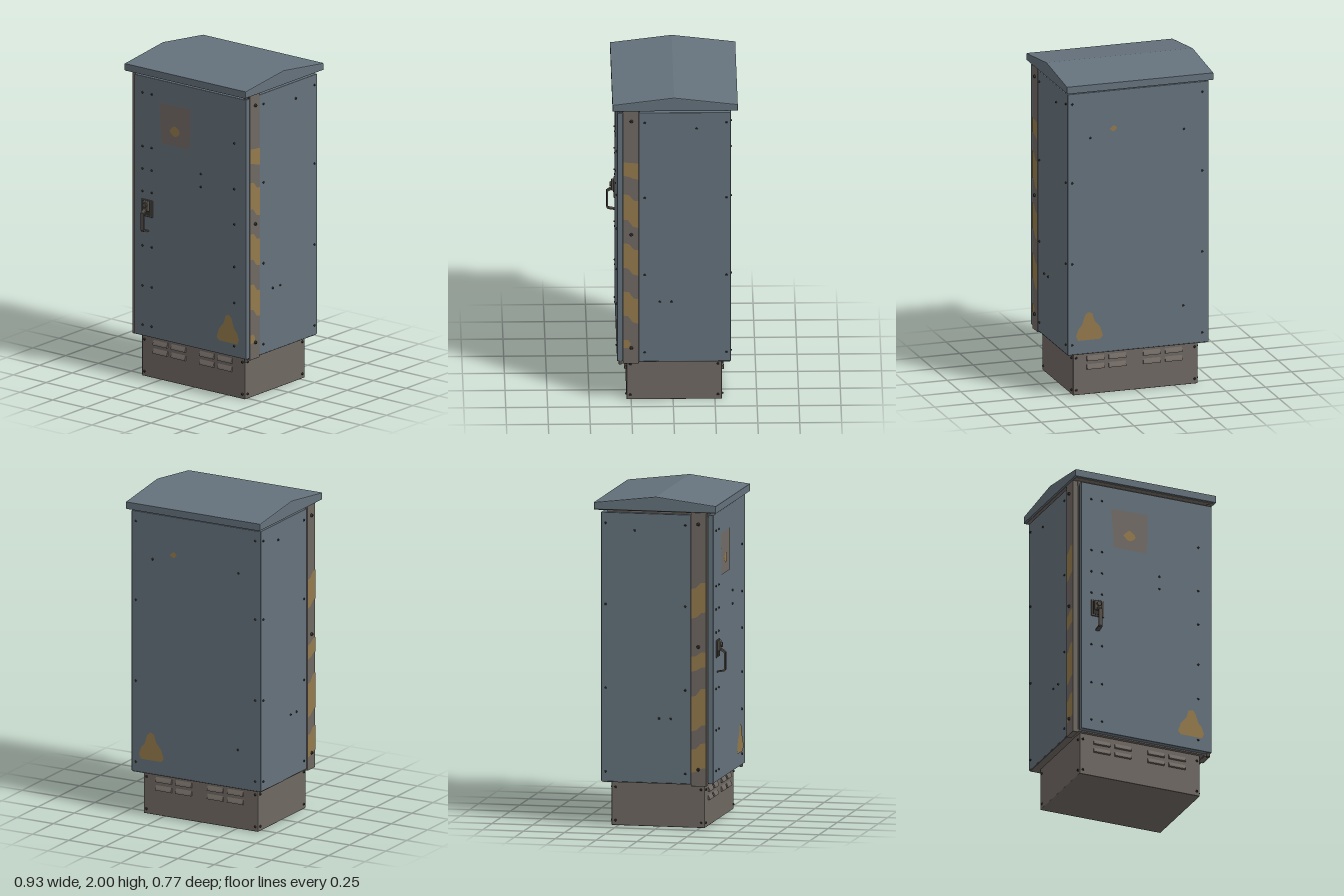
import * as THREE from 'three';
import { mergeGeometries } from 'three/addons/utils/BufferGeometryUtils.js';
import { RoundedBoxGeometry } from 'three/addons/geometries/RoundedBoxGeometry.js';

const paint = (name, color) => {
  const m = new THREE.MeshStandardMaterial({ color });
  m.name = name;
  return m;
};

export function createModel() {
  const blue = paint('blue grey paint', 0x65727c);
  const grey = paint('bare grey metal', 0x706963);
  const label = paint('faded label', 0x736c68);
  const orange = paint('faded orange', 0x947a4c);
  const dark = paint('dark seal', 0x34332f);
  const steel = paint('dark steel', 0x55504a);

  const model = new THREE.Group();
  model.name = 'streetCabinet';

  const add = (name, geometry, material, parent = model) => {
    const mesh = new THREE.Mesh(geometry, material);
    mesh.name = name;
    parent.add(mesh);
    return mesh;
  };
  // Box given by its limits on each axis
  const box = (name, [x0, x1], [y0, y1], [z0, z1], material, radius = 0, parent = model) => {
    const size = [x1 - x0, y1 - y0, z1 - z0];
    const g = radius ? new RoundedBoxGeometry(...size, 2, radius) : new THREE.BoxGeometry(...size);
    g.translate((x0 + x1) / 2, (y0 + y1) / 2, (z0 + z1) / 2);
    return add(name, g, material, parent);
  };

  // Each wall of the cabinet: turn about y and distance from the axis
  const walls = {
    front: [0, 0.335], back: [Math.PI, 0.345],
    left: [Math.PI / 2, 0.445], right: [-Math.PI / 2, 0.445],
  };
  // Horizontal position along a wall (world x or z) to the wall's own axis
  const along = { front: 1, back: -1, left: -1, right: 1 };

  // Domed fasteners at [position, height] on a wall, merged into one mesh
  const bolts = (name, wall, spots, radius = 0.008, distance = walls[wall][1], material = dark) => {
    const parts = spots.map(([u, y]) => new THREE.CylinderGeometry(radius * 0.6, radius, radius, 8)
      .rotateX(Math.PI / 2).translate(u * along[wall], y, distance + radius / 2));
    add(name, mergeGeometries(parts), material).rotation.y = walls[wall][0];
  };
  // Flat painted patch on a wall
  const patch = (name, wall, points, material, distance = walls[wall][1], smooth = false) => {
    const v = points.map(([u, y]) => new THREE.Vector2(u * along[wall], y));
    const shape = new THREE.Shape();
    if (smooth) {
      shape.moveTo(v[0].x, v[0].y);
      shape.splineThru([...v.slice(1), v[0]]);
    } else shape.setFromPoints(v);
    const g = new THREE.ShapeGeometry(shape, 6).translate(0, 0, distance + 0.002);
    add(name, g, material).rotation.y = walls[wall][0];
  };

  // Plinth
  box('plinth', [-0.395, 0.392], [0, 0.28], [-0.292, 0.278], grey, 0.004);

  // Plinth louvres, front and back
  const fin = new THREE.Shape([[0, 0], [0.014, 0.002], [0.011, 0.012], [0, 0.034]]
    .map(p => new THREE.Vector2(...p)));
  const fins = [];
  for (const x of [-0.252, -0.114, 0.103, 0.241]) for (const y of [0.155, 0.207]) {
    fins.push(new THREE.ExtrudeGeometry(fin, { depth: 0.108, bevelEnabled: false })
      .rotateY(-Math.PI / 2).translate(x + 0.054, y, 0));
  }
  const louvres = mergeGeometries(fins);
  add('frontLouvres', louvres, grey).position.z = 0.277;
  const backLouvres = add('backLouvres', louvres, grey);
  backLouvres.rotation.y = Math.PI;
  backLouvres.position.z = -0.291;

  // Plinth corner screws
  for (const [wall, d, us] of [['front', 0.278, [-0.375, 0.372]], ['back', 0.292, [-0.375, 0.372]],
    ['left', 0.392, [-0.268, 0.255]], ['right', 0.395, [-0.268, 0.255]]]) {
    bolts('plinthScrews', wall, us.flatMap(u => [[u, 0.03], [u, 0.23]]), 0.008, d);
  }

  // Cabinet shell, floor, inner frame and collar below the roof
  box('shell', [-0.445, 0.445], [0.27, 1.895], [-0.345, 0.205], blue, 0.004);
  box('floor', [-0.44, 0.44], [0.266, 0.276], [-0.34, 0.3], grey);
  box('doorFrame', [-0.42, 0.438], [0.275, 1.9], [0.2, 0.302], dark);
  box('collar', [-0.42, 0.42], [1.88, 1.915], [-0.31, 0.305], grey);

  // Front corner posts
  box('rightPost', [-0.45, -0.416], [0.258, 1.912], [0.205, 0.3], grey, 0.003);
  box('leftPost', [0.41, 0.447], [0.258, 1.912], [0.205, 0.3], grey, 0.003);

  // Door with hinge pins
  box('door', [-0.41, 0.445], [0.272, 1.893], [0.3, 0.335], blue, 0.004);
  for (const y of [0.262, 1.898]) {
    add('hingePin', new THREE.CylinderGeometry(0.012, 0.012, 0.024, 10), steel)
      .position.set(0.428, y, 0.315);
  }

  // Roof: low gable extruded across the width
  const r = 0.006;
  const gable = new THREE.Shape([[-0.379, 1.917], [0.356, 1.917], [0.356, 1.949],
    [-0.005, 1.994], [-0.379, 1.949]].map(([z, y]) => new THREE.Vector2(-z, y)));
  const roofGeometry = new THREE.ExtrudeGeometry(gable, {
    depth: 0.926 - 2 * r, bevelThickness: r, bevelSize: r, bevelSegments: 2,
  }).rotateY(Math.PI / 2).translate(-0.463 + r, 0, 0);
  add('roof', roofGeometry, blue);
  box('roofUnderside', [-0.45, 0.45], [1.908, 1.915], [-0.37, 0.347], grey);

  // Worn hazard stripes on the posts: [front top, rear top, rear bottom, front bottom]
  const stripes = {
    left: [[1.575, 1.565, 1.46, 1.485], [1.365, 1.32, 1.145, 1.2], [1.045, 1.0, 0.833, 0.885],
      [0.73, 0.68, 0.52, 0.573]],
    right: [[1.49, 1.45, 1.27, 1.31], [1.07, 1.04, 0.95, 0.98], [0.85, 0.8, 0.59, 0.63],
      [0.52, 0.48, 0.34, 0.37]],
  };
  for (const [wall, list] of Object.entries(stripes)) {
    const d = wall === 'left' ? 0.447 : 0.45;
    for (const [a, b, c, e] of list) {
      patch('hazardStripe', wall, [[0.296, a], [0.265, a - 0.004], [0.235, b + 0.004], [0.208, b],
        [0.208, c], [0.24, c + 0.008], [0.27, e - 0.004], [0.296, e]], orange, d);
    }
    bolts('postBolts', wall, [[0.25, 1.84], [0.25, 1.1], [0.25, 0.36]], 0.011, d);
  }
  patch('hazardStripe', 'left', [[0.296, 0.415], [0.27, 0.415], [0.252, 0.39], [0.262, 0.362],
    [0.296, 0.362]], orange, 0.447);

  // Warning triangles, door notice and worn spots
  const triangle = [[0.222, 0.375], [0.24, 0.355], [0.38, 0.355], [0.392, 0.385], [0.378, 0.425],
    [0.355, 0.45], [0.335, 0.51], [0.315, 0.528], [0.29, 0.52], [0.275, 0.47], [0.24, 0.43]];
  patch('frontWarning', 'front', triangle, orange);
  patch('backWarning', 'back', triangle, orange);
  patch('notice', 'front', [[-0.215, 1.75], [-0.2, 1.52], [-0.2, 1.502], [0.015, 1.5],
    [0.022, 1.6], [0.022, 1.755]], label);
  patch('noticeSpot', 'front', [[-0.138, 1.59], [-0.1, 1.56], [-0.062, 1.58], [-0.065, 1.605],
    [-0.1, 1.625]], orange, 0.337, true);
  patch('backSpot', 'back', [[0.18, 1.655], [0.155, 1.64], [0.135, 1.66], [0.155, 1.675]],
    orange, 0.345, true);

  // Fasteners on the walls
  const rows = [1.83, 1.34, 0.835, 0.33];
  const doorBolts = [1.79, 1.455, 1.315, 1.175, 0.835, 0.585, 0.34]
    .flatMap(y => [[-0.345, y], [-0.275, y]]);
  for (const y of [1.605, 1.32, 1.1, 0.835, 0.61, 0.34]) doorBolts.push([0.355, y]);
  bolts('doorBolts', 'front', [...doorBolts, [0.1, 1.365], [0.1, 1.285]], 0.007);
  const sideBolts = rows.flatMap(y => [[0.17, y], [-0.318, y]]);
  for (const wall of ['left', 'right']) {
    bolts('sideBolts', wall, [...sideBolts, [0.08, 0.66], [0.01, 0.66], [-0.14, 1.79]], 0.007);
  }
  bolts('backBolts', 'back', [...rows.flatMap(y => [[-0.405, y], [0.415, y]]),
    [0.3, 1.61], [-0.29, 1.61], [-0.285, 0.51]], 0.007);

  // Door handle: back plate, lock housing and bent lever
  const handle = new THREE.Group();
  handle.name = 'doorHandle';
  model.add(handle);
  box('handlePlate', [-0.35, -0.264], [1.022, 1.128], [0.334, 0.343], steel, 0.004, handle);
  box('handleRecess', [-0.337, -0.277], [1.033, 1.117], [0.34, 0.345], dark, 0, handle);
  box('lockHousing', [-0.33, -0.284], [1.06, 1.124], [0.34, 0.358], steel, 0.006, handle);
  add('lockCylinder', new THREE.CylinderGeometry(0.014, 0.014, 0.02, 12).rotateX(Math.PI / 2), steel, handle)
    .position.set(-0.307, 1.098, 0.358);
  const lever = new THREE.Shape([[0.34, 1.078], [0.366, 1.072], [0.387, 1.056], [0.387, 0.946],
    [0.38, 0.938], [0.336, 0.93], [0.336, 0.938], [0.374, 0.946], [0.378, 0.952], [0.378, 1.05],
    [0.36, 1.062], [0.34, 1.066]].map(([z, y]) => new THREE.Vector2(-z, y)));
  add('lever', new THREE.ExtrudeGeometry(lever, { depth: 0.024, bevelEnabled: false })
    .rotateY(Math.PI / 2).translate(-0.319, 0, 0), steel, handle);

  return model;
}
